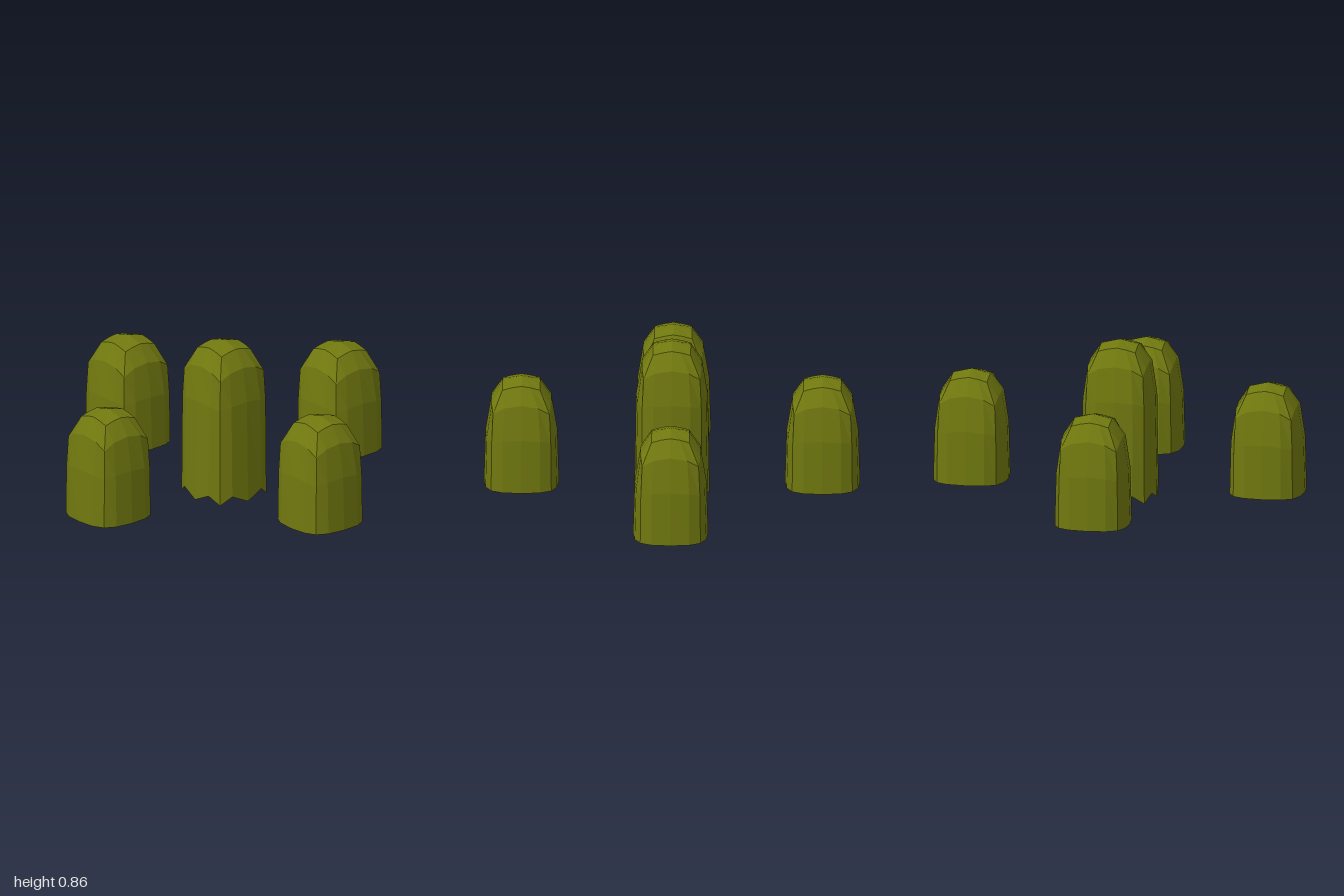
import * as THREE from 'three';

const olive = new THREE.MeshStandardMaterial({ color: 0x70780f, flatShading: true, side: THREE.DoubleSide });
olive.name = 'olive';

// Each ring is a rounded square of 16 points, given by its three kinds of
// point: side middle, quarter and corner, as [distance out, sideways, height].
const DOME = [
  [[0.1, 0, -0.025], [0.1, 0.05, -0.033], [0.1, 0.1, -0.047]],
  [[0.16, 0, -0.115], [0.158, 0.09, -0.13], [0.15, 0.15, -0.165]],
  [[0.191, 0, -0.3], [0.183, 0.1, -0.31], [0.157, 0.157, -0.325]],
];
const FOOT = [[0.2, 0], [0.19, 0.1], [0.16, 0.16]];

// Expands the three kinds of point into a full ring, side by side
function ringPoints([mid, quarter, corner], top) {
  const points = [];
  for (let side = 0; side < 4; side++) {
    const c = Math.cos(side * Math.PI / 2), s = Math.sin(side * Math.PI / 2);
    const order = [[mid, 1], [quarter, 1], [corner, 1], [quarter, -1]];
    order.forEach(([p, sign], i) => {
      // the last quarter point belongs to the next side
      const [a, b] = i === 3 ? [p[1], p[0]] : [p[0], p[1] * sign];
      points.push([a * c - b * s, top + p[2], a * s + b * c]);
    });
  }
  return points;
}

// Open-bottomed domed shell; the foot heights alternate around the rim
function shell(name, x, z, top, footLow, footHigh) {
  const rings = DOME.map((ring) => ringPoints(ring, top));
  const foot = FOOT.map(([a, b], i) => [a, b, i === 1 ? footHigh : footLow]);
  rings.push(ringPoints(foot, 0));

  const positions = [0, top, 0, ...rings.flat(2)];
  const index = [];
  const at = (ring, i) => 1 + ring * 16 + (i % 16);
  for (let i = 0; i < 16; i++) {
    index.push(0, at(0, i + 1), at(0, i));
    for (let r = 0; r < rings.length - 1; r++) {
      index.push(at(r, i), at(r, i + 1), at(r + 1, i));
      index.push(at(r, i + 1), at(r + 1, i + 1), at(r + 1, i));
    }
  }
  const geometry = new THREE.BufferGeometry();
  geometry.setAttribute('position', new THREE.Float32BufferAttribute(positions, 3));
  geometry.setIndex(index);
  const flat = geometry.toNonIndexed();
  flat.computeVertexNormals();

  const mesh = new THREE.Mesh(flat, olive);
  mesh.name = name;
  mesh.position.set(x, 0, z);
  return mesh;
}

export function createModel() {
  const model = new THREE.Group();
  model.name = 'domedShells';

  // Tall middle shell with a jagged rim
  model.add(shell('centreShell', 0, 0, 0.865, 0.005, 0.05));

  // Four shorter shells around it
  const outer = [['leftShell', 0.8, 0], ['rightShell', -0.8, 0], ['frontShell', 0, 0.8], ['backShell', 0, -0.8]];
  for (const [name, x, z] of outer) model.add(shell(name, x, z, 0.665, 0.07, 0.07));

  return model;
}
